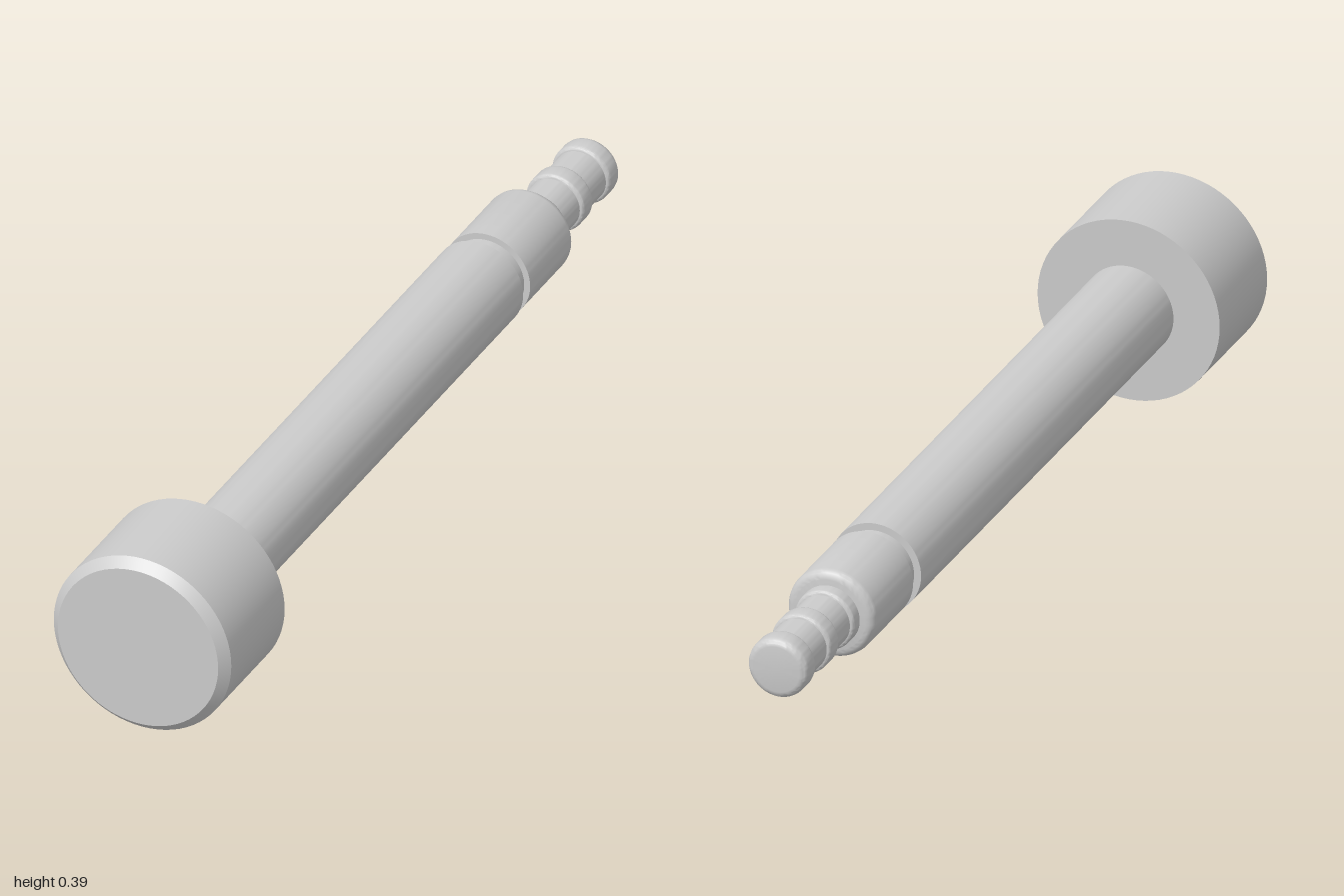
import * as THREE from 'three';
import { toCreasedNormals } from 'three/addons/utils/BufferGeometryUtils.js';

const AXIS_Y = 0.195;
const material = new THREE.MeshStandardMaterial({ color: 0xcccccc });

// Solid of revolution along z; profile is [radius, z] from back to front
function turned(name, profile) {
  const points = profile.map(([r, z]) => new THREE.Vector2(r, z));
  const lathe = new THREE.LatheGeometry(points, 72).rotateX(Math.PI / 2);
  const mesh = new THREE.Mesh(toCreasedNormals(lathe, Math.PI / 6), material);
  mesh.name = name;
  mesh.position.y = AXIS_Y;
  return mesh;
}

// Cylinder profile with optional rounded back and front edges
function rod(r, back, front, backFillet = 0, frontFillet = 0) {
  const profile = [[0, back]];
  const arc = (fillet, z, start) => {
    const steps = fillet ? 4 : 0;
    for (let i = 0; i <= steps; i++) {
      const a = start + (steps ? (i / steps) * Math.PI / 2 : 0);
      profile.push([r - fillet + fillet * Math.cos(a), z + fillet * Math.sin(a)]);
    }
  };
  arc(backFillet, back + backFillet, -Math.PI / 2);
  arc(frontFillet, front - frontFillet, 0);
  profile.push([0, front]);
  return profile;
}

export function createModel() {
  const model = new THREE.Group();
  model.name = 'pin';

  // Head with a chamfered front rim
  model.add(turned('head', [[0, 0.745], [0.195, 0.745], [0.195, 0.98], [0.176, 1], [0, 1]]));

  // Long shaft, retaining groove and collar
  model.add(turned('shaft', rod(0.096, -0.505, 0.745)));
  model.add(turned('groove', rod(0.081, -0.54, -0.505)));
  model.add(turned('collar', rod(0.094, -0.735, -0.54, 0.018)));

  // Ribbed tip: a thin core carrying three rounded rings
  const tip = new THREE.Group();
  tip.name = 'tip';
  tip.add(turned('tipCore', rod(0.056, -0.97, -0.735)));
  const rings = [[-0.765, -0.735, 0.008, 0], [-0.88, -0.835, 0.008, 0.008], [-1, -0.95, 0.015, 0.008]];
  for (const [back, front, backFillet, frontFillet] of rings) {
    tip.add(turned('tipRing', rod(0.064, back, front, backFillet, frontFillet)));
  }
  model.add(tip);

  return model;
}
